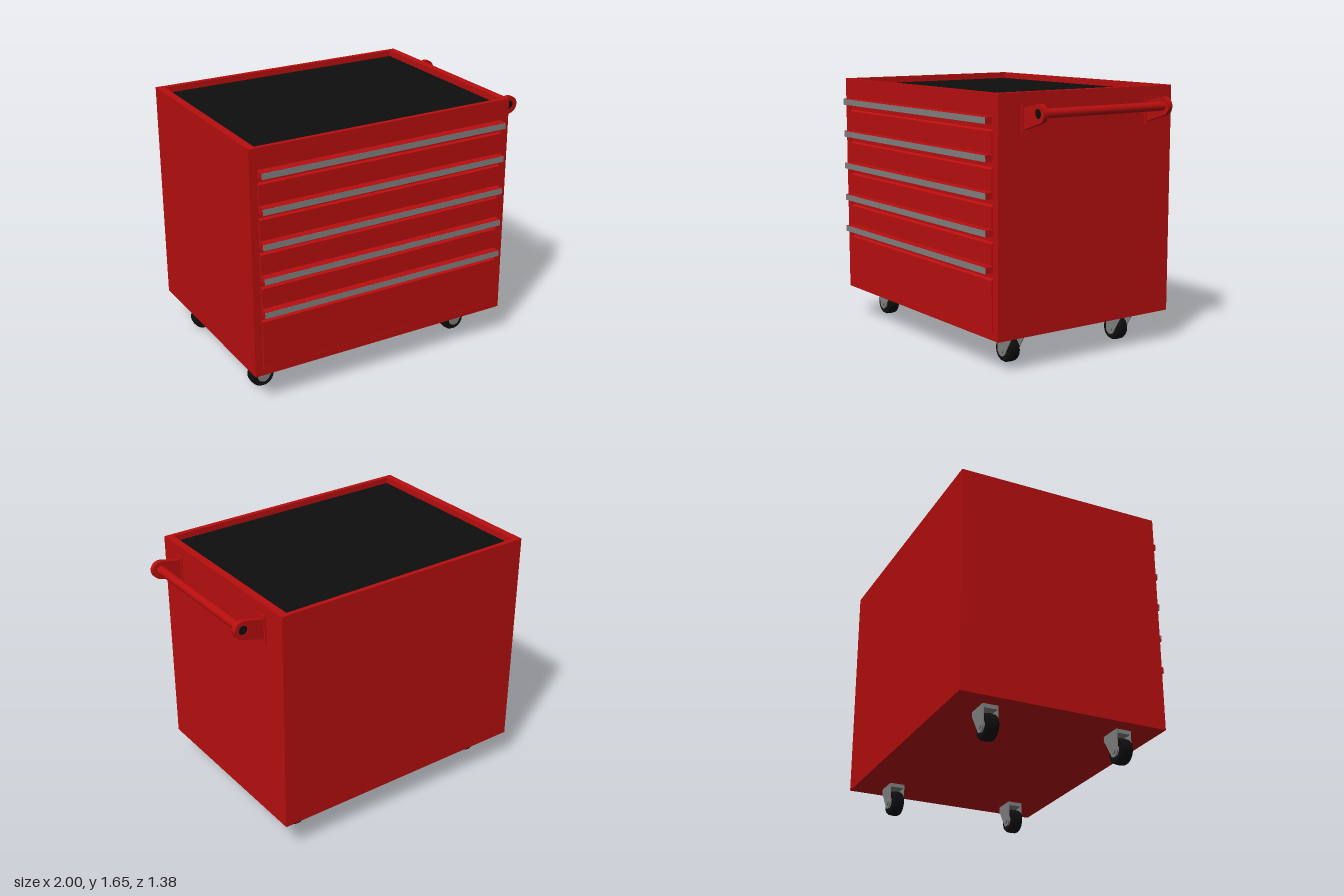
import * as THREE from 'three';

const paint = (color) => new THREE.MeshStandardMaterial({ color });
const red = paint(0xb80e0e);
const grey = paint(0x808080);
const black = paint(0x0e0e0e);

function add(parent, name, geometry, material, x = 0, y = 0, z = 0) {
  const mesh = new THREE.Mesh(geometry, material);
  mesh.name = name;
  mesh.position.set(x, y, z);
  parent.add(mesh);
  return mesh;
}

// Box given by its two extreme corners
function block(parent, name, material, [x0, y0, z0], [x1, y1, z1]) {
  const g = new THREE.BoxGeometry(x1 - x0, y1 - y0, z1 - z0);
  return add(parent, name, g, material, (x0 + x1) / 2, (y0 + y1) / 2, (z0 + z1) / 2);
}

const corners = (x0, y0, x1, y1) =>
  [[x0, y0], [x1, y0], [x1, y1], [x0, y1]].map(([x, y]) => new THREE.Vector2(x, y));

// Flat rectangular frame with a rectangular opening
function frame(outer, inner, depth) {
  const shape = new THREE.Shape(corners(...outer));
  shape.holes.push(new THREE.Path(corners(...inner)));
  return new THREE.ExtrudeGeometry(shape, { depth, bevelEnabled: false });
}

function extrude(shape, depth) {
  const g = new THREE.ExtrudeGeometry(shape, { depth, bevelEnabled: false, curveSegments: 16 });
  return g.translate(0, 0, -depth / 2);
}

function createCabinet() {
  const cabinet = new THREE.Group();
  cabinet.name = 'cabinet';
  block(cabinet, 'cabinetBody', red, [-1, 0.205, -0.69], [0.8, 1.61, 0.615]);
  const front = frame([-1, 0.205, 0.8, 1.61], [-0.95, 0.25, 0.748, 1.525], 0.025);
  add(cabinet, 'frontFrame', front, red, 0, 0, 0.615);
  // Raised rim around the work top
  const rim = frame([-1, -0.64, 0.8, 0.69], [-0.95, -0.61, 0.75, 0.66], 0.045);
  rim.rotateX(-Math.PI / 2);
  add(cabinet, 'topRim', rim, red, 0, 1.61, 0);
  block(cabinet, 'topMat', black, [-0.95, 1.605, -0.66], [0.75, 1.615, 0.61]);
  return cabinet;
}

// Drawer front: flat panel, finger recess and projecting pull
function createDrawer(top, bottom) {
  const drawer = new THREE.Group();
  drawer.name = 'drawer';
  const profile = [
    [0.61, bottom], [0.645, bottom], [0.645, top - 0.085], [0.63, top - 0.075],
    [0.63, top - 0.04], [0.688, top - 0.04], [0.688, top], [0.61, top],
  ];
  const shape = new THREE.Shape(profile.map(([z, y]) => new THREE.Vector2(z, y)));
  const front = extrude(shape, 1.688).rotateY(-Math.PI / 2);
  add(drawer, 'drawerFront', front, red, -0.101, 0, 0);
  block(drawer, 'pullStrip', grey, [-0.945, top - 0.039, 0.68], [0.743, top - 0.001, 0.69]);
  return drawer;
}

function createPushHandle() {
  const handle = new THREE.Group();
  handle.name = 'pushHandle';
  const cx = 0.943, cy = 1.54, r = 0.057;
  const arm = new THREE.Shape();
  arm.moveTo(0.795, 1.435);
  arm.lineTo(cx + r * Math.cos(-1.26), cy + r * Math.sin(-1.26));
  arm.absarc(cx, cy, r, -1.26, 1.83, false);
  arm.lineTo(0.795, 1.566);
  arm.closePath();
  arm.holes.push(new THREE.Path().absarc(cx, cy, 0.029, 0, Math.PI * 2, true));
  for (const z of [0.45, -0.498]) {
    add(handle, 'handleArm', extrude(arm, 0.032), red, 0, 0, z);
    block(handle, 'handleFlange', red, [0.795, 1.415, z - 0.029], [0.81, 1.59, z + 0.029]);
    const plug = new THREE.CylinderGeometry(0.029, 0.029, 0.022, 24).rotateX(Math.PI / 2);
    add(handle, 'barEnd', plug, black, cx, cy, z);
  }
  const bar = new THREE.CylinderGeometry(0.028, 0.028, 0.93, 24).rotateX(Math.PI / 2);
  add(handle, 'handleBar', bar, red, cx, cy, -0.024);
  return handle;
}

// Swivel caster with its wheel axle at the local origin
function createCaster() {
  const caster = new THREE.Group();
  caster.name = 'caster';
  const tread = [
    [0.02, -0.034], [0.058, -0.034], [0.064, -0.041], [0.071, -0.038], [0.078, -0.026],
    [0.08, 0], [0.078, 0.026], [0.071, 0.038], [0.064, 0.041], [0.058, 0.034], [0.02, 0.034],
  ].map(([x, y]) => new THREE.Vector2(x, y));
  add(caster, 'wheel', new THREE.LatheGeometry(tread, 32).rotateX(Math.PI / 2), black);
  const hub = new THREE.CylinderGeometry(0.035, 0.035, 0.074, 24).rotateX(Math.PI / 2);
  add(caster, 'wheelHub', hub, grey);
  const axle = new THREE.CylinderGeometry(0.021, 0.021, 0.112, 16).rotateX(Math.PI / 2);
  add(caster, 'axle', axle, grey);
  // Raked fork cheeks joined by a bridge plate
  const cheek = new THREE.Shape();
  cheek.moveTo(-0.04, 0.125);
  cheek.lineTo(-0.04, 0);
  cheek.absarc(0, 0, 0.04, Math.PI, Math.PI * 2 - 0.3, false);
  cheek.lineTo(0.107, 0.095);
  cheek.lineTo(0.107, 0.125);
  cheek.closePath();
  for (const side of [-1, 1]) {
    add(caster, 'forkCheek', extrude(cheek, 0.006), grey, 0, 0, side * 0.046);
  }
  block(caster, 'forkBridge', grey, [-0.04, 0.1, -0.049], [0.107, 0.126, 0.049]);
  return caster;
}

export function createModel() {
  const model = new THREE.Group();
  model.name = 'toolCabinet';
  model.add(createCabinet(), createPushHandle());

  // Five drawers, the lowest one deeper
  for (let i = 0; i < 5; i++) {
    const top = 1.52 - i * 0.218;
    model.add(createDrawer(top, i < 4 ? top - 0.213 : 0.255));
  }

  for (const x of [-0.858, 0.58]) {
    for (const z of [0.412, -0.452]) {
      const caster = createCaster();
      caster.position.set(x, 0.08, z);
      model.add(caster);
    }
  }
  return model;
}
